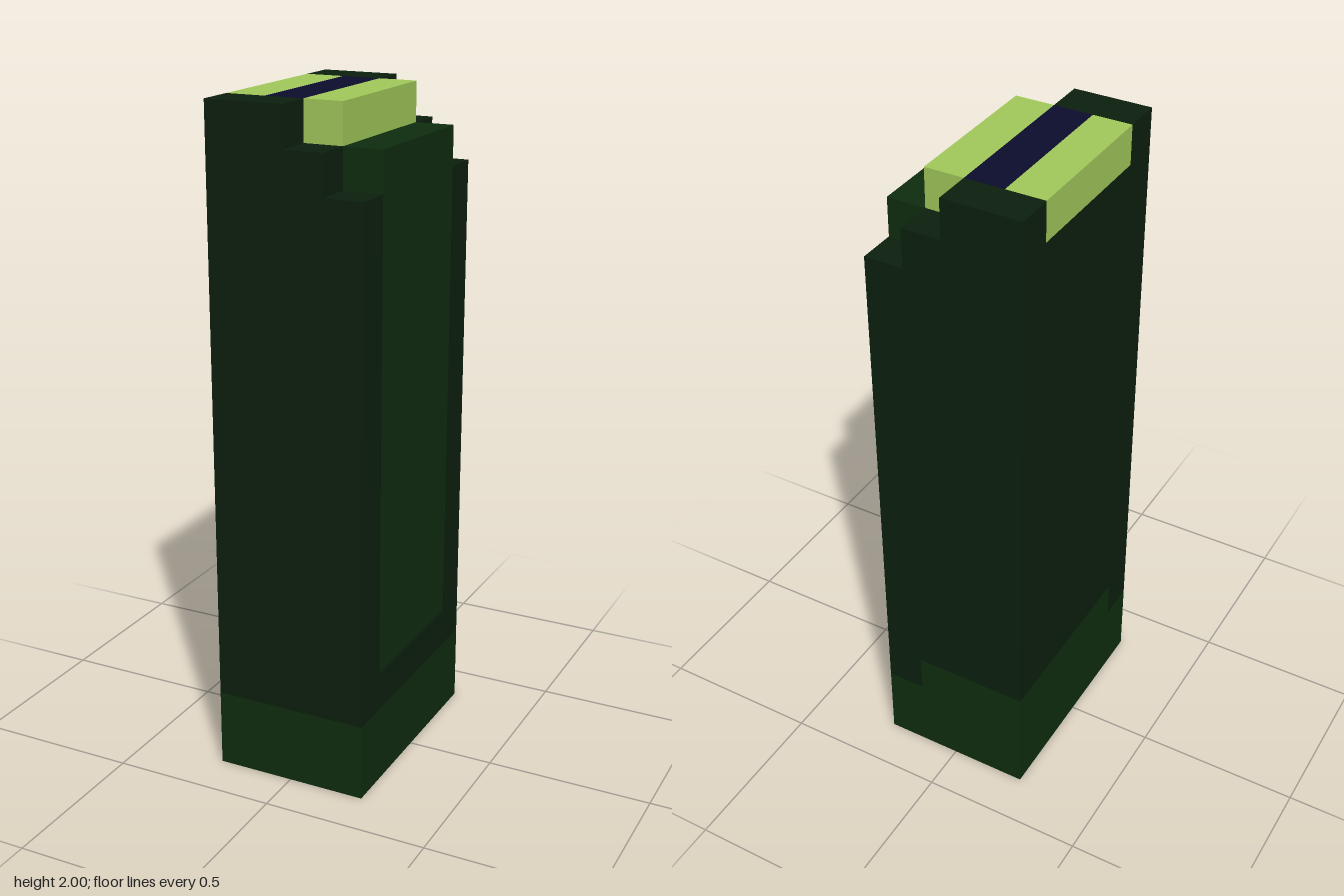
import * as THREE from 'three';

const U = 2 / 17; // one block

export function createModel() {
  const group = new THREE.Group();
  group.name = 'steppedTower';

  const material = (name, color) => {
    const m = new THREE.MeshStandardMaterial({ color });
    m.name = name;
    return m;
  };
  const dark = material('darkGreen', 0x0c200e);
  const green = material('forestGreen', 0x0f2d0f);
  const lime = material('lime', 0xa4cb5b);
  const navy = material('navy', 0x0c0c2d);

  const add = (name, geometry, mat) => {
    const mesh = new THREE.Mesh(geometry, mat);
    mesh.name = name;
    group.add(mesh);
    return mesh;
  };

  // Box spanning block coordinates: x 0-4, y 0-17, z 0 (back) to 6 (front)
  const block = (name, mat, [x0, x1], [y0, y1], [z0, z1]) => {
    const mesh = add(name, new THREE.BoxGeometry((x1 - x0) * U, (y1 - y0) * U, (z1 - z0) * U), mat);
    mesh.position.set(((x0 + x1) / 2 - 2) * U, ((y0 + y1) / 2) * U, ((z0 + z1) / 2 - 3) * U);
  };

  // Base, with a raised part towards the back and the right
  block('base', green, [0, 4], [0, 2], [0, 6]);
  block('raisedBase', green, [0, 3], [2, 3], [0, 5]);
  block('frontBand', dark, [0, 4], [2, 3], [5, 6]);
  block('sideBand', dark, [3, 4], [2, 3], [0, 5]);

  // Stepped end walls, front and back
  const steps = [[0, 3], [4, 3], [4, 15], [3, 15], [3, 16], [2, 16], [2, 17], [0, 17]];
  const profile = new THREE.Shape(steps.map(([x, y]) => new THREE.Vector2((x - 2) * U, y * U)));
  for (const [name, z] of [['backWall', -3], ['frontWall', 2]]) {
    const wall = new THREE.ExtrudeGeometry(profile, { depth: U, bevelEnabled: false });
    add(name, wall, dark).position.z = z * U;
  }

  // Core between the walls and the green side panel
  block('core', dark, [0, 3], [3, 16], [1, 5]);
  block('sidePanel', green, [3, 4], [3, 16], [1, 5]);

  // Striped top
  [lime, navy, lime].forEach((mat, i) => {
    block(`topStripe${i + 1}`, mat, [i, i + 1], [16, 17], [1, 5]);
  });

  return group;
}
